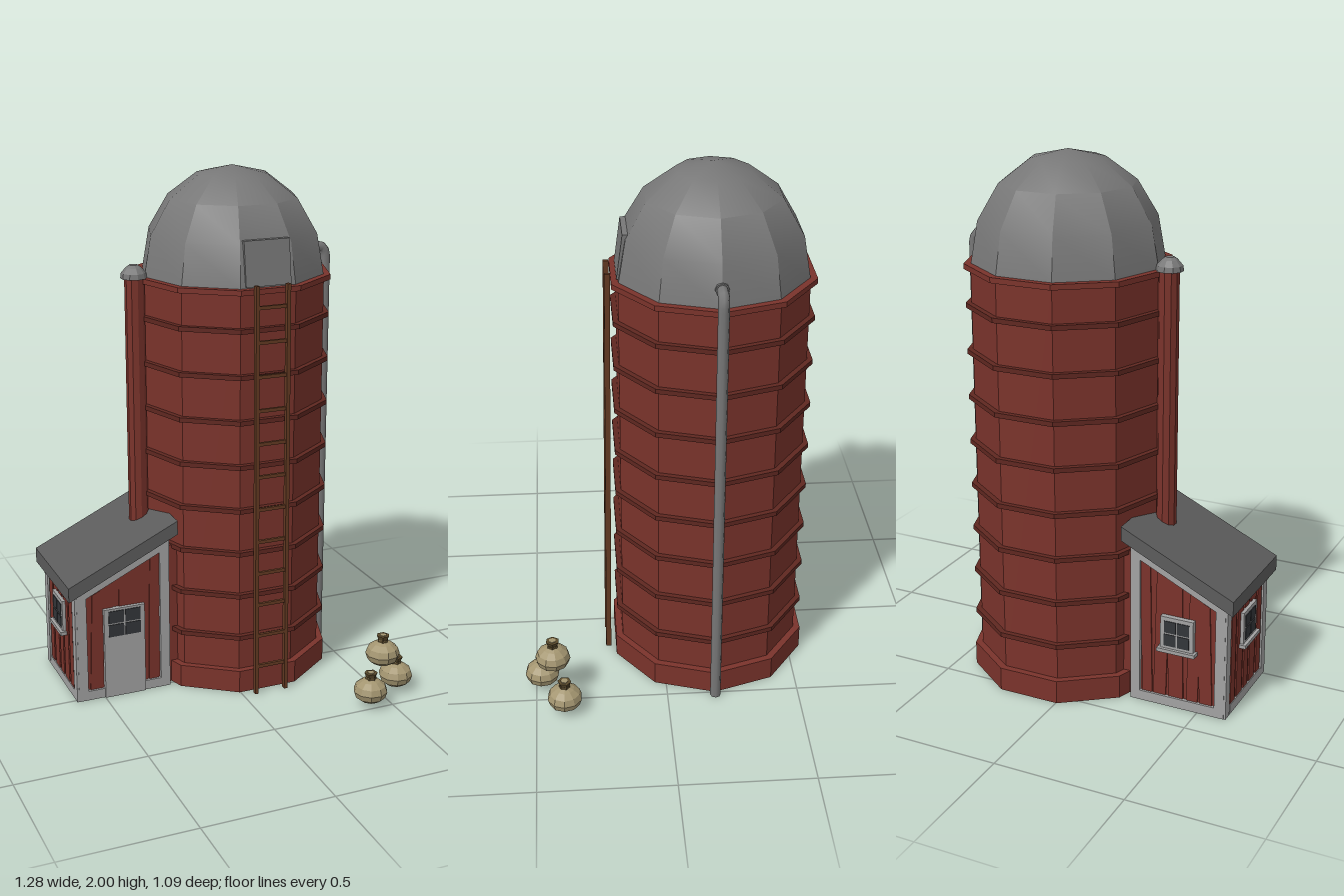
import * as THREE from 'three';
import { toCreasedNormals } from 'three/addons/utils/BufferGeometryUtils.js';

const mat = (color, flat = true) => new THREE.MeshStandardMaterial({ color, flatShading: flat });
const RED = mat(0x7a332b), DARK_RED = mat(0x5f2720), BROWN = mat(0x633a22);
const ROOF = mat(0x5c5c5c), METAL = mat(0x777777, false), TRIM = mat(0xa2a2a2);
const GLASS = mat(0x33363a), SACK = mat(0xa39570), TWINE = mat(0x5a4a2c);

const CX = 0.115, CZ = -0.183; // silo axis

function add(parent, name, geo, material, x = 0, y = 0, z = 0) {
  const m = new THREE.Mesh(geo, material);
  m.name = name;
  m.position.set(x, y, z);
  parent.add(m);
  return m;
}
const box = (p, name, material, w, h, d, x, y, z) =>
  add(p, name, new THREE.BoxGeometry(w, h, d), material, x, y, z);
const shapeOf = pts => new THREE.Shape(pts.map(p => new THREE.Vector2(p[0], p[1])));
const extrude = (shape, depth) => new THREE.ExtrudeGeometry(shape, { depth, bevelEnabled: false });

// ten-sided drum with a flat side facing front
const drum = (r, h) => new THREE.CylinderGeometry(r, r, h, 10, 1, false, Math.PI / 10);

function makeSilo() {
  const g = new THREE.Group();
  g.name = 'silo';
  g.position.set(CX, 0, CZ);
  add(g, 'base', drum(0.384, 0.09), RED, 0, 0.045);
  add(g, 'wall', drum(0.357, 1.52), RED, 0, 0.84);
  for (let i = 0; i < 8; i++) add(g, 'band', drum(0.378, 0.018), DARK_RED, 0, 0.228 + i * 0.174);
  add(g, 'rim', drum(0.382, 0.02), RED, 0, 1.59);

  // faceted dome
  const profile = [];
  for (let i = 0; i <= 4; i++) {
    const a = i * Math.PI / 8;
    profile.push(new THREE.Vector2(i === 4 ? 0 : 0.355 * Math.cos(a), 1.6 + 0.4 * Math.sin(a)));
  }
  const dome = new THREE.LatheGeometry(profile, 10, Math.PI / 10);
  add(g, 'dome', toCreasedNormals(dome, 0.5), METAL);

  // hatch leaning back against the dome
  const hatch = extrude(shapeOf([[0.26, 1.605], [0.344, 1.605], [0.322, 1.77], [0.26, 1.77]]), 0.18);
  hatch.rotateY(-Math.PI / 2);
  add(g, 'hatch', hatch, METAL.clone(), 0.09).material.flatShading = true;
  return g;
}

function makeLadder() {
  const g = new THREE.Group();
  g.name = 'ladder';
  g.position.set(CX, 0, 0.212);
  g.rotation.x = -0.012;
  for (const s of [-1, 1]) box(g, 'rail', BROWN, 0.014, 1.615, 0.02, s * 0.062, 0.808, 0);
  for (let i = 0; i < 12; i++) box(g, 'rung', BROWN, 0.13, 0.013, 0.012, 0, 0.115 + i * 0.129, 0);
  return g;
}

function makePipes() {
  const g = new THREE.Group();
  g.name = 'pipes';
  // drain pipe bending over the rim
  const v = (x, y) => new THREE.Vector3(x, y, CZ);
  const path = new THREE.CurvePath();
  path.add(new THREE.LineCurve3(v(0.44, 1.665), v(0.48, 1.665)));
  path.add(new THREE.QuadraticBezierCurve3(v(0.48, 1.665), v(0.513, 1.665), v(0.513, 1.62)));
  path.add(new THREE.LineCurve3(v(0.513, 1.62), v(0.513, 0)));
  const pipe = add(g, 'drainPipe', new THREE.TubeGeometry(path, 90, 0.02, 8, false), METAL.clone());
  pipe.material.side = THREE.DoubleSide;
  const collar = add(g, 'pipeCollar', new THREE.CylinderGeometry(0.025, 0.025, 0.02, 8), METAL, 0.452, 1.665, CZ);
  collar.rotation.z = Math.PI / 2;
  // vent stack above the shed with a domed cap
  add(g, 'ventStack', new THREE.CylinderGeometry(0.038, 0.038, 1.1, 10), RED, -0.28, 1.05, CZ);
  const cap = [[0, 1.595], [0.05, 1.6], [0.047, 1.62], [0.03, 1.64], [0.016, 1.65], [0, 1.65]];
  add(g, 'ventCap', new THREE.LatheGeometry(cap.map(p => new THREE.Vector2(...p)), 10),
    mat(0x777777), -0.283, 0, CZ);
  return g;
}

// four panes with bars; faces +z
function makePanes(w, h) {
  const g = new THREE.Group();
  g.name = 'windowPanes';
  for (const sx of [-1, 1]) for (const sy of [-1, 1])
    box(g, 'pane', GLASS, w / 2 - 0.006, h / 2 - 0.006, 0.006, sx * w / 4, sy * h / 4, 0);
  return g;
}

function makeWindow() {
  const g = new THREE.Group();
  g.name = 'window';
  box(g, 'frame', TRIM, 0.13, 0.13, 0.02, 0, 0, 0.005);
  box(g, 'sill', TRIM, 0.15, 0.014, 0.034, 0, -0.067, 0.01);
  const panes = makePanes(0.105, 0.105);
  panes.position.z = 0.0145;
  g.add(panes);
  return g;
}

function makeShed() {
  const g = new THREE.Group();
  g.name = 'shed';
  const L = -0.605, R = -0.23, F = 0.012, B = -0.382;
  const top = x => 0.735 + 0.477 * x; // underside of the roof
  const outline = [[L, 0], [R, 0], [R, top(R)], [L, top(L)]];
  add(g, 'walls', extrude(shapeOf(outline), F - B - 0.02), RED, 0, 0, B + 0.01);
  box(g, 'linkToSilo', RED, 0.2, 0.58, 0.34, -0.14, 0.29, CZ);

  // pale frames on front, back and outer side
  const t = 0.038;
  const frame = shapeOf(outline);
  frame.holes.push(new THREE.Path([[L + t, t], [L + t, top(L + t) - t], [R - t, top(R - t) - t], [R - t, t]]
    .map(p => new THREE.Vector2(...p))));
  add(g, 'frontFrame', extrude(frame, 0.016), TRIM, 0, 0, F - 0.012);
  add(g, 'backFrame', extrude(frame, 0.016), TRIM, 0, 0, B - 0.004);
  const h = top(L);
  for (const z of [F - t / 2 + 0.003, B + t / 2 - 0.003]) box(g, 'cornerPost', TRIM, 0.016, h, t, L, h / 2, z);
  for (const y of [t / 2, h - t / 2]) box(g, 'sideRail', TRIM, 0.016, t, F - B - 2 * t, L, y, CZ);

  // uneven siding boards
  [[-0.53, 0.05, 0.015], [-0.475, 0.045, -0.01], [-0.41, 0.06, 0.008], [-0.345, 0.05, -0.012], [-0.295, 0.04, 0.01]]
    .forEach(([x, w, skew]) => {
      const board = extrude(shapeOf([[x - w / 2, t], [x + w / 2, t], [x + w / 2 + skew, top(x + w / 2) - t],
        [x - w / 2 + skew, top(x - w / 2) - t]]), 0.006);
      add(g, 'frontBoard', board, RED, 0, 0, F - 0.011);
      add(g, 'backBoard', board, RED, 0, 0, B + 0.005);
    });
  for (let i = 0; i < 5; i++)
    box(g, 'sideBoard', RED, 0.008, h - 2 * t, 0.042 + (i % 2) * 0.012, L - 0.001, h / 2, CZ + (i - 2) * 0.064);

  // front door
  box(g, 'door', TRIM, 0.165, 0.37, 0.02, -0.417, 0.185, F);
  const panes = makePanes(0.135, 0.112);
  panes.position.set(-0.417, 0.308, F + 0.01);
  g.add(panes);

  const side = makeWindow();
  side.position.set(L - 0.003, 0.305, CZ);
  side.rotation.y = -Math.PI / 2;
  const back = makeWindow();
  back.position.set(-0.42, 0.305, B);
  back.rotation.y = Math.PI;
  g.add(side, back);

  const roof = shapeOf([[-0.64, 0.43], [-0.2, 0.64], [-0.2, 0.695], [-0.64, 0.488]]);
  add(g, 'roof', extrude(roof, 0.44), ROOF, 0, 0, -0.405);
  return g;
}

function makeSack(x, y, z, turn) {
  const g = new THREE.Group();
  g.name = 'sack';
  g.position.set(x, y, z);
  g.rotation.y = turn;
  const body = [[0, 0], [0.038, 0.003], [0.058, 0.018], [0.066, 0.042], [0.058, 0.066], [0.036, 0.083], [0.017, 0.092],
    [0.019, 0.1]];
  const m = SACK.clone();
  m.side = THREE.DoubleSide;
  add(g, 'sackBody', new THREE.LatheGeometry(body.map(p => new THREE.Vector2(...p)), 10), m);
  add(g, 'sackTie', new THREE.CylinderGeometry(0.021, 0.021, 0.01, 6), TWINE, 0, 0.094);
  add(g, 'sackNeck', new THREE.CylinderGeometry(0.026, 0.017, 0.02, 6), TWINE, 0, 0.106);
  add(g, 'sackOpening', new THREE.CylinderGeometry(0.014, 0.014, 0.004, 6), SACK, 0, 0.117);
  return g;
}

export function createModel() {
  const model = new THREE.Group();
  model.name = 'farmSilo';
  model.add(makeSilo(), makeLadder(), makePipes(), makeShed());
  model.add(makeSack(0.415, 0.025, 0.475, 0.2), makeSack(0.57, 0.025, 0.392, 0.9), makeSack(0.486, 0.15, 0.432, 0.5));
  return model;
}
